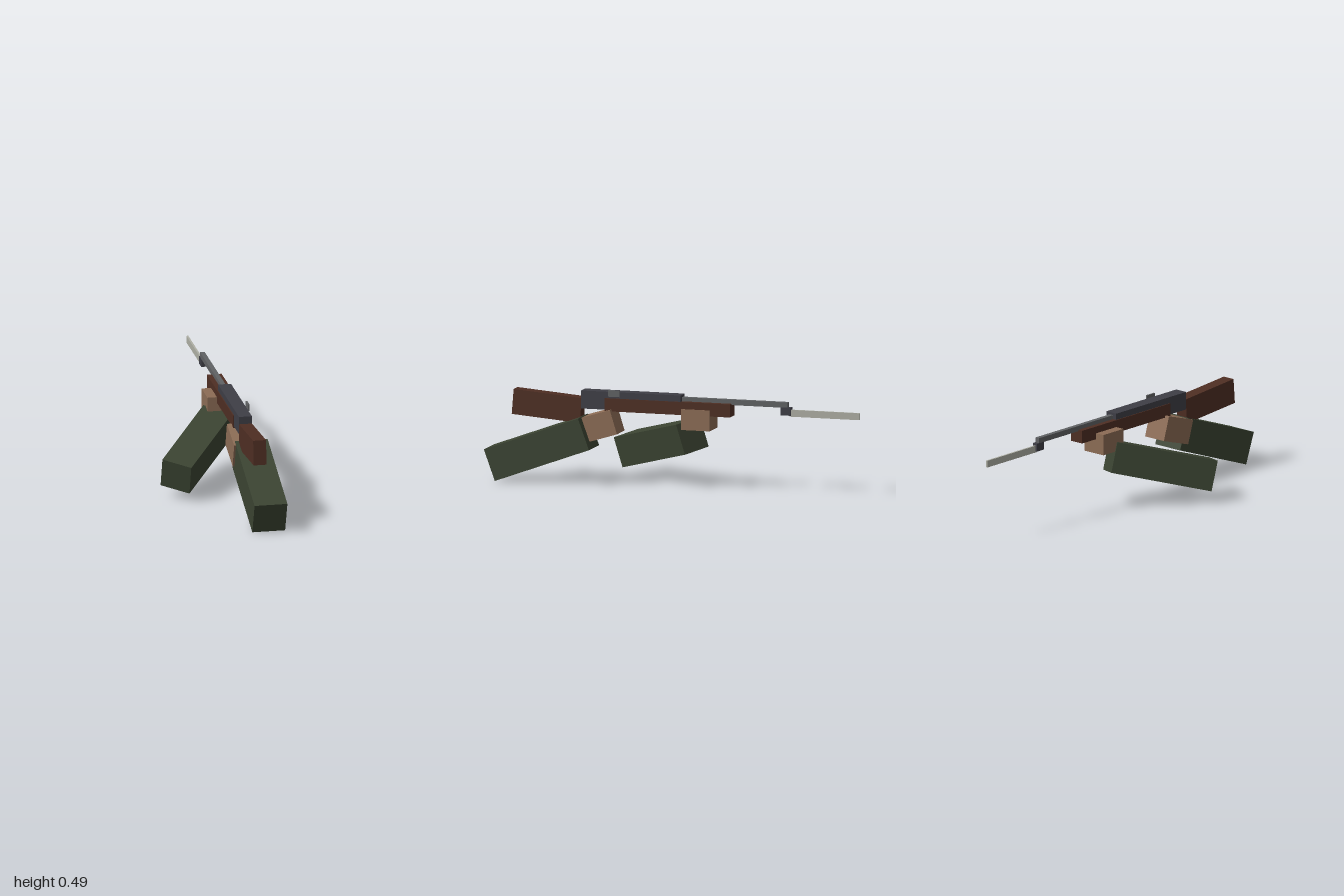
import * as THREE from 'three';

const material = (name, color) => {
  const m = new THREE.MeshStandardMaterial({ color, flatShading: true });
  m.name = name;
  return m;
};

export function createModel() {
  const sleeve = material('dark green cloth', 0x3b4432);
  const skin = material('skin', 0x8c6c55);
  const wood = material('dark wood', 0x4e2e23);
  const steel = material('dark steel', 0x3e3e46);
  const barrelSteel = material('grey steel', 0x606264);
  const bladeSteel = material('bright steel', 0xaeafa5);

  const model = new THREE.Group();
  model.name = 'armsWithRifle';
  const rifle = new THREE.Group();
  rifle.name = 'rifle';
  rifle.position.x = 0.142;
  const arms = new THREE.Group();
  arms.name = 'arms';
  model.add(rifle, arms);

  // One box part: size, centre, pitch and yaw
  const box = (parent, name, mat, size, centre, pitch = 0, yaw = 0) => {
    const mesh = new THREE.Mesh(new THREE.BoxGeometry(...size), mat);
    mesh.name = name;
    mesh.position.set(...centre);
    mesh.rotation.set(pitch, yaw, 0);
    parent.add(mesh);
  };

  // Rifle, muzzle towards -z
  box(rifle, 'receiver', steel, [0.068, 0.094, 0.54], [0, 0.436, 0.23]);
  box(rifle, 'handguard', wood, [0.078, 0.068, 0.68], [0, 0.416, 0.032]);
  box(rifle, 'stock', wood, [0.068, 0.131, 0.37], [0, 0.3925, 0.686], -0.08);
  box(rifle, 'barrel', barrelSteel, [0.024, 0.028, 0.575], [0, 0.457, -0.325]);
  box(rifle, 'bayonetMount', steel, [0.027, 0.042, 0.055], [0, 0.424, -0.602]);
  box(rifle, 'bayonetBlade', bladeSteel, [0.01, 0.036, 0.38], [0, 0.415, -0.81]);
  box(rifle, 'boltHandle', barrelSteel, [0.009, 0.034, 0.062], [0.0485, 0.478, 0.316]);

  // Arm holding the grip
  box(arms, 'rearSleeve', sleeve, [0.173, 0.173, 0.543], [0.1745, 0.175, 0.715], 0.35);
  box(arms, 'rearHand', skin, [0.131, 0.131, 0.196], [0.1435, 0.302, 0.408], 0.3);

  // Arm supporting the handguard
  box(arms, 'frontSleeve', sleeve, [0.162, 0.162, 0.548], [-0.042, 0.198, 0.135], 0.3, -0.59);
  box(arms, 'frontHand', skin, [0.131, 0.109, 0.155], [0.1185, 0.359, -0.122]);

  return model;
}
